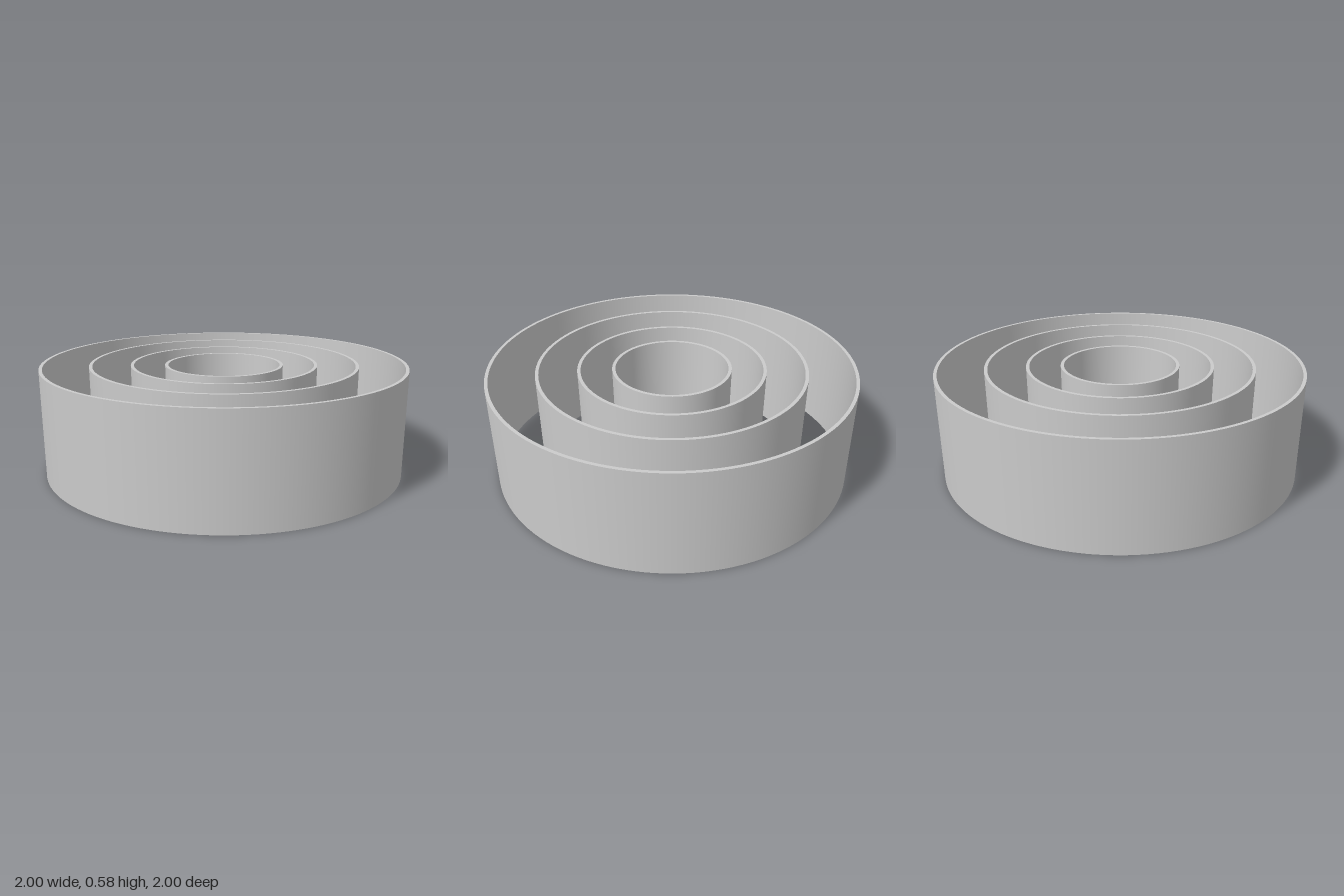
import * as THREE from 'three';

// Four nested, open-ended ring cutters with a very slight draft toward the bottom
const RINGS = [
  { name: 'outerRing', radius: 1.0, height: 0.585 },
  { name: 'largeRing', radius: 0.738, height: 0.58 },
  { name: 'mediumRing', radius: 0.514, height: 0.575 },
  { name: 'innerRing', radius: 0.326, height: 0.57 },
];
const WALL = 0.018;
const DRAFT = 0.007;
const SEGMENTS = 128;

// Each straight run is its own lathe, so rims stay sharp and walls stay smooth
function ring({ name, radius, height }, material) {
  const corners = [
    [radius - DRAFT, 0],
    [radius, height],
    [radius - WALL, height],
    [radius - WALL - DRAFT, 0],
  ].map(([x, y]) => new THREE.Vector2(x, y));
  const faces = ['outerWall', 'topRim', 'innerWall', 'bottomRim'];
  const group = new THREE.Group();
  group.name = name;
  faces.forEach((face, i) => {
    const profile = [corners[i], corners[(i + 1) % 4]];
    const mesh = new THREE.Mesh(new THREE.LatheGeometry(profile, SEGMENTS), material);
    mesh.name = face;
    group.add(mesh);
  });
  return group;
}

export function createModel() {
  const model = new THREE.Group();
  model.name = 'nestedRings';
  const material = new THREE.MeshStandardMaterial({ color: 0xcccccc });
  for (const spec of RINGS) model.add(ring(spec, material));
  return model;
}
